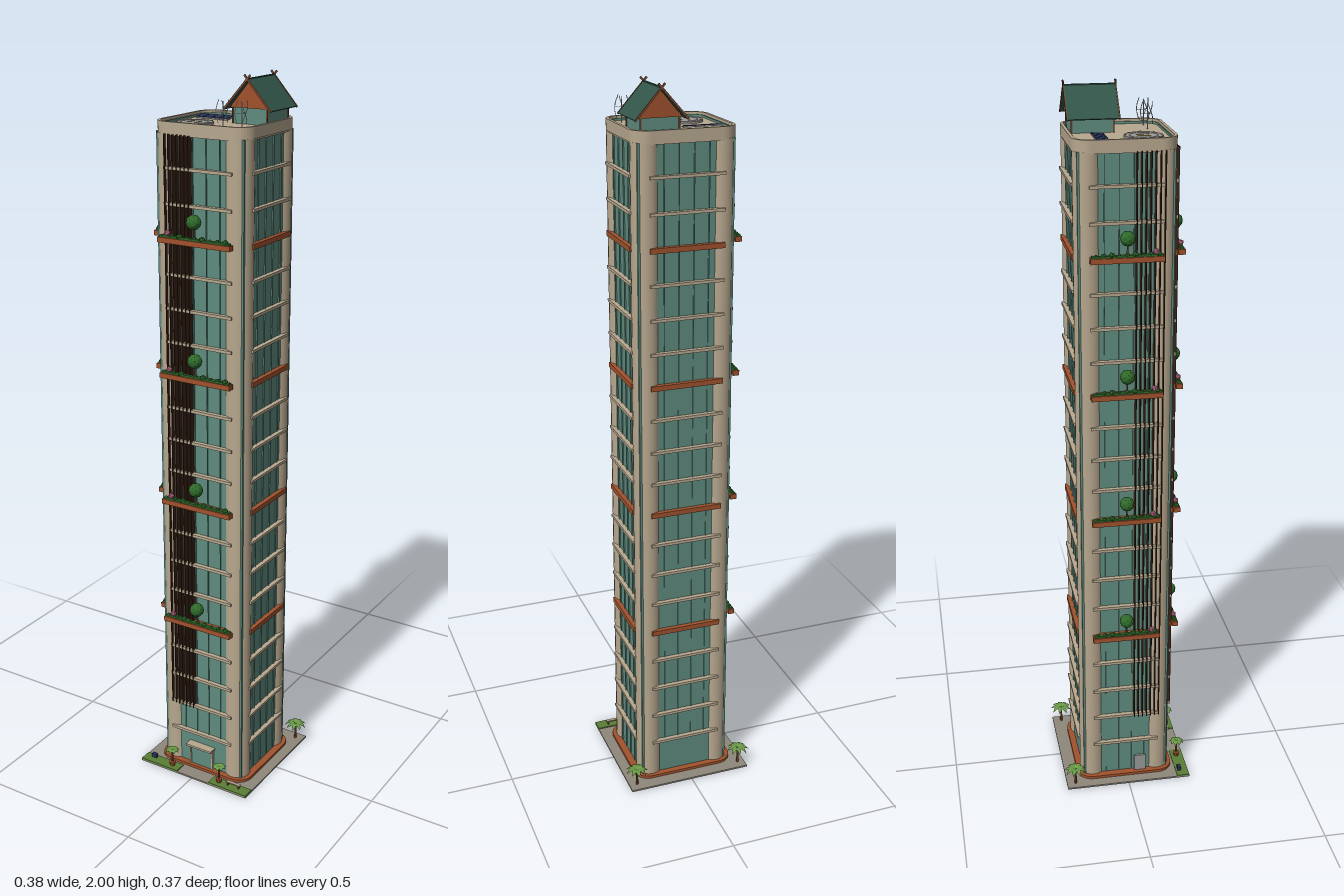
import * as THREE from 'three';

const C = {
  tan: 0xb8a88f, glass: 0x5f8c80, clay: 0xa0522d, fin: 0x3c2418, pave: 0x8f877c, lawn: 0x5a7f35,
  leaf: 0x2f6a2a, palm: 0x6a9a48, roof: 0x33564a, navy: 0x2a3560, grey: 0x9a9a98, pink: 0xc06a8c,
  yellow: 0xd0a030, white: 0xd8d8d4, dark: 0x2b2b2b, wood: 0x7a4a30,
};
const mats = {};
const mat = (c) => (mats[c] ??= new THREE.MeshStandardMaterial({
  color: C[c], flatShading: true, side: THREE.DoubleSide }));

// Tower centre, half sizes and storey spacing
const CX = 0.005, CZ = -0.003, HX = 0.138, HZ = 0.132, R = 0.037;
const FLOOR0 = 0.123, STOREY = 0.0917, TOP = 1.858, ROOF = 1.876;

export function createModel() {
  const model = new THREE.Group();

  const add = (name, geo, color, x, y, z, parent = model) => {
    const m = new THREE.Mesh(geo, mat(color));
    m.name = name;
    m.position.set(x, y, z);
    parent.add(m);
    return m;
  };
  const box = (name, color, w, h, d, x, y, z, parent) =>
    add(name, new THREE.BoxGeometry(w, h, d), color, x, y, z, parent);
  const group = (name, x, y, z, parent = model) => {
    const g = new THREE.Group();
    g.name = name;
    g.position.set(x, y, z);
    parent.add(g);
    return g;
  };

  // Rounded rectangle outline, optionally used as a ring
  const outline = (P, hx, hz, r) => {
    const s = new P();
    [[1, 1, 0], [-1, 1, 1], [-1, -1, 2], [1, -1, 3]].forEach(([sx, sz, q]) =>
      s.absarc(sx * (hx - r), sz * (hz - r), r, q * Math.PI / 2, (q + 1) * Math.PI / 2));
    s.closePath();
    return s;
  };
  const slab = (name, color, hx, hz, r, y0, y1, wall = 0) => {
    const s = outline(THREE.Shape, hx, hz, r);
    if (wall) s.holes.push(outline(THREE.Path, hx - wall, hz - wall, r - wall));
    const g = new THREE.ExtrudeGeometry(s, { depth: y1 - y0, bevelEnabled: false, curveSegments: 5 });
    g.rotateX(-Math.PI / 2);
    return add(name, g, color, CX, y0, CZ);
  };

  // Ground plate, lawns and path
  box('ground', 'pave', 0.362, 0.005, 0.365, 0.005, 0.0035, 0);
  box('lawnRight', 'lawn', 0.126, 0.004, 0.036, -0.113, 0.007, 0.1645);
  box('lawnLeft', 'lawn', 0.127, 0.004, 0.036, 0.1225, 0.007, 0.1645);
  slab('base', 'clay', 0.15, 0.142, 0.045, 0, 0.014);

  // Glass core, rounded corner columns, parapet and roof deck
  box('glassCore', 'glass', 2 * HX - 0.014, TOP - 0.01, 2 * HZ - 0.014, CX, (TOP + 0.01) / 2, CZ).scale.set(0.99, 1, 0.99);
  for (const sx of [-1, 1]) for (const sz of [-1, 1]) {
    const g = new THREE.CylinderGeometry(R, R, TOP - 0.01, 20);
    const col = add('cornerColumn', g, 'tan', CX + sx * (HX - R), (TOP + 0.01) / 2, CZ + sz * (HZ - R));
    col.material = mats.smoothTan ??= new THREE.MeshStandardMaterial({ color: C.tan });
  }
  slab('roofDeck', 'tan', HX, HZ, 0.045, TOP - 0.004, ROOF);
  slab('parapet', 'tan', HX + 0.002, HZ + 0.001, 0.046, TOP, 1.888, 0.008);
  slab('parapetTrim', 'glass', HX - 0.009, HZ - 0.009, 0.036, ROOF, 1.882, 0.003);

  // Storey ledges on all four faces; every fourth one is a clay band
  const LX = 2 * (HX - R), LZ = 2 * (HZ - R);
  for (let k = 0; k < 19; k++) {
    const y = FLOOR0 + k * STOREY, band = k > 0 && k % 4 === 0;
    const c = band ? 'clay' : 'tan', h = band ? 0.014 : 0.008;
    for (const s of [-1, 1]) {
      box('ledge', c, LX, h, 0.016, CX, y, CZ + s * (HZ - 0.003));
      box('ledge', c, 0.016, h, LZ, CX + s * (HX - 0.003), y, CZ);
    }
  }
  // Thin window mullions
  for (const t of [-0.6, -0.2, 0.2, 0.6]) for (const s of [-1, 1]) {
    box('mullion', 'glass', 0.002, TOP - 0.12, 0.004, CX + t * LX / 2, (TOP + 0.12) / 2, CZ + s * (HZ - 0.007));
    box('mullion', 'glass', 0.004, TOP - 0.02, 0.002, CX + s * (HX - 0.007), (TOP + 0.02) / 2, CZ + t * LZ / 2);
  }
  // Tall vertical fins either side of the front right corner
  for (let i = 0; i < 7; i++) {
    const h = TOP - 0.21, y = (TOP + 0.21) / 2, t = i * 0.012;
    box('frontFin', 'fin', 0.002, h, 0.02, -0.092 + t, y, 0.127);
    box('sideFin', 'fin', 0.02, h, 0.002, -0.133, y, 0.093 - t);
  }

  // Planters: trough, hedge, round bush on a stem and a flowering shrub
  const planter = (x, y, z, len, turn) => {
    const p = group('planter', x, y, z);
    p.rotation.y = turn;
    box('trough', 'clay', len, 0.014, 0.018, 0, 0, 0, p);
    box('soilHedge', 'leaf', len - 0.008, 0.006, 0.011, 0, 0.009, 0, p);
    for (let i = 0; i < 9; i++) {
      const b = add('shrub', new THREE.IcosahedronGeometry(0.005 + 0.002 * (i % 3), 0), 'leaf',
        (i - 4) * len / 9.5, 0.012, 0, p);
      b.rotation.y = i;
    }
    add('stem', new THREE.CylinderGeometry(0.002, 0.003, 0.035, 5), 'wood', 0, 0.025, 0, p);
    add('bush', new THREE.IcosahedronGeometry(0.02, 1), 'leaf', 0, 0.055, 0.004, p);
    add('flowers', new THREE.IcosahedronGeometry(0.009, 0), 'pink', turn ? 0.073 : -0.083, 0.018, 0, p);
  };
  for (let k = 4; k <= 16; k += 4) {
    const y = FLOOR0 + k * STOREY + 0.002;
    planter(0.004, y, 0.145, 0.218, 0);
    planter(-0.15, y, -0.005, 0.19, -Math.PI / 2);
  }

  // Entrance with frame and canopy, side service door
  const door = group('entrance', 0.002, 0, 0.125);
  for (const s of [-1, 1]) {
    box('doorLeaf', 'glass', 0.034, 0.07, 0.006, s * 0.0175, 0.045, 0, door);
    box('doorPost', 'tan', 0.004, 0.07, 0.01, s * 0.037, 0.045, 0, door);
  }
  box('canopy', 'tan', 0.086, 0.006, 0.026, 0, 0.083, 0.008, door);
  box('sideDoor', 'grey', 0.006, 0.055, 0.034, -0.131, 0.038, 0.04);

  // Plants at ground level with drooping fronds
  const palm = (name, x, z, h, reach, potted) => {
    const p = group(name, x, 0.007, z);
    add('trunk', new THREE.CylinderGeometry(0.002, 0.004, h, 6), 'wood', 0, h / 2, 0, p);
    if (potted) add('pot', new THREE.CylinderGeometry(0.01, 0.007, 0.014, 8), 'clay', 0, 0.007, 0, p);
    const n = 9;
    for (let i = 0; i < n; i++) {
      const g = new THREE.PlaneGeometry(1, 1, 1, 4), a = g.attributes.position;
      for (let j = 0; j < a.count; j++) {
        const t = a.getY(j) + 0.5, w = 0.007 * Math.sin(Math.PI * (0.12 + 0.88 * t));
        a.setXYZ(j, t * reach, h + reach * (0.9 * t - 1.1 * t * t) * (i % 2 ? 1 : 0.6), a.getX(j) * w * 2);
      }
      g.computeVertexNormals();
      add('frond', g, 'palm', 0, 0, 0, p).rotation.y = i * 2 * Math.PI / n + x * 9;
    }
  };
  palm('palmBackRight', -0.155, -0.157, 0.05, 0.033);
  palm('palmBackLeft', 0.163, -0.157, 0.05, 0.033);
  palm('potPlantRight', -0.078, 0.163, 0.055, 0.022, true);
  palm('potPlantLeft', 0.085, 0.163, 0.055, 0.022, true);

  // Bench and small utility box on the lawn
  box('benchSeat', 'tan', 0.046, 0.003, 0.009, 0.133, 0.02, 0.161);
  for (const s of [-1, 1]) box('benchLeg', 'wood', 0.003, 0.012, 0.008, 0.133 + s * 0.018, 0.013, 0.161);
  box('utilityBox', 'navy', 0.016, 0.014, 0.01, -0.146, 0.014, 0.157);

  // Rooftop hut with a steep pitched roof
  const hut = group('roofHut', 0.072, ROOF, -0.064);
  box('hutWalls', 'glass', 0.1, 0.05, 0.107, 0, 0.025, 0, hut);
  for (const sx of [-1, 1]) for (const sz of [-1, 1])
    box('hutPost', 'wood', 0.004, 0.05, 0.004, sx * 0.05, 0.025, sz * 0.0535, hut);
  const tri = new THREE.Shape([[-0.056, 0.04], [0.056, 0.04], [0, 0.106]].map((p) => new THREE.Vector2(...p)));
  const gable = new THREE.ExtrudeGeometry(tri, { depth: 0.116, bevelEnabled: false });
  add('gable', gable, 'clay', 0, 0, -0.058, hut);
  const slope = Math.atan2(0.075, 0.067), len = Math.hypot(0.075, 0.067);
  for (const s of [-1, 1]) {
    const side = group('roofSide', s * 0.0335, 0.0735, 0, hut);
    side.rotation.z = -s * slope;
    box('roofPanel', 'roof', len, 0.004, 0.132, 0, 0, 0, side);
    for (const sz of [-1, 1])
      box('bargeBoard', 'wood', len + 0.016, 0.005, 0.003, -s * 0.006, 0.001, sz * 0.067, side);
  }
  box('ridge', 'roof', 0.005, 0.004, 0.134, 0, 0.112, 0, hut);

  // Tilted solar panels
  for (let i = 0; i < 4; i++) {
    const x = -0.098 + i * 0.0245;
    box('panelFrame', 'grey', 0.023, 0.003, 0.036, x, ROOF + 0.004, -0.058).rotation.x = 0.12;
    box('solarPanel', 'navy', 0.02, 0.002, 0.033, x, ROOF + 0.006, -0.058).rotation.x = 0.12;
  }

  // Landing pad with rim lights and plain yellow bars
  const pad = group('landingPad', -0.054, ROOF, 0.052);
  add('padDisc', new THREE.CylinderGeometry(0.05, 0.05, 0.005, 28), 'grey', 0, 0.0025, 0, pad);
  for (const r of [0.036, 0.048])
    add('padRing', new THREE.TorusGeometry(r, 0.0008, 4, 28).rotateX(Math.PI / 2), 'white', 0, 0.005, 0, pad);
  for (const s of [-1, 1]) box('padBar', 'yellow', 0.003, 0.001, 0.034, s * 0.011, 0.0055, 0, pad);
  for (let i = 0; i < 8; i++) {
    const a = i * Math.PI / 4;
    box('padLight', 'yellow', 0.003, 0.003, 0.003, 0.046 * Math.cos(a), 0.006, 0.046 * Math.sin(a), pad);
  }

  // Vertical-axis wind turbines with twisted blades
  for (const x of [0.05, 0.105]) {
    const t = group('windTurbine', x, ROOF, 0.082);
    add('mast', new THREE.CylinderGeometry(0.001, 0.0015, 0.066, 6), 'white', 0, 0.033, 0, t);
    for (let b = 0; b < 3; b++) {
      const pts = [0, 1, 2, 3, 4, 5].map((i) => {
        const a = b * 2.094 + i * 0.25, r = 0.018 * (0.75 + 0.25 * Math.sin(i * Math.PI / 5));
        return new THREE.Vector3(r * Math.cos(a), 0.014 + i * 0.011, r * Math.sin(a));
      });
      add('blade', new THREE.TubeGeometry(new THREE.CatmullRomCurve3(pts), 10, 0.001, 4), 'white', 0, 0, 0, t);
      const arm = box('bladeArm', 'white', 0.017, 0.001, 0.001, 0, 0.04, 0, t);
      arm.rotation.y = -(b * 2.094 + 0.6);
      arm.position.set(0.0085 * Math.cos(b * 2.094 + 0.6), 0.04, 0.0085 * Math.sin(b * 2.094 + 0.6));
    }
  }
  return model;
}
